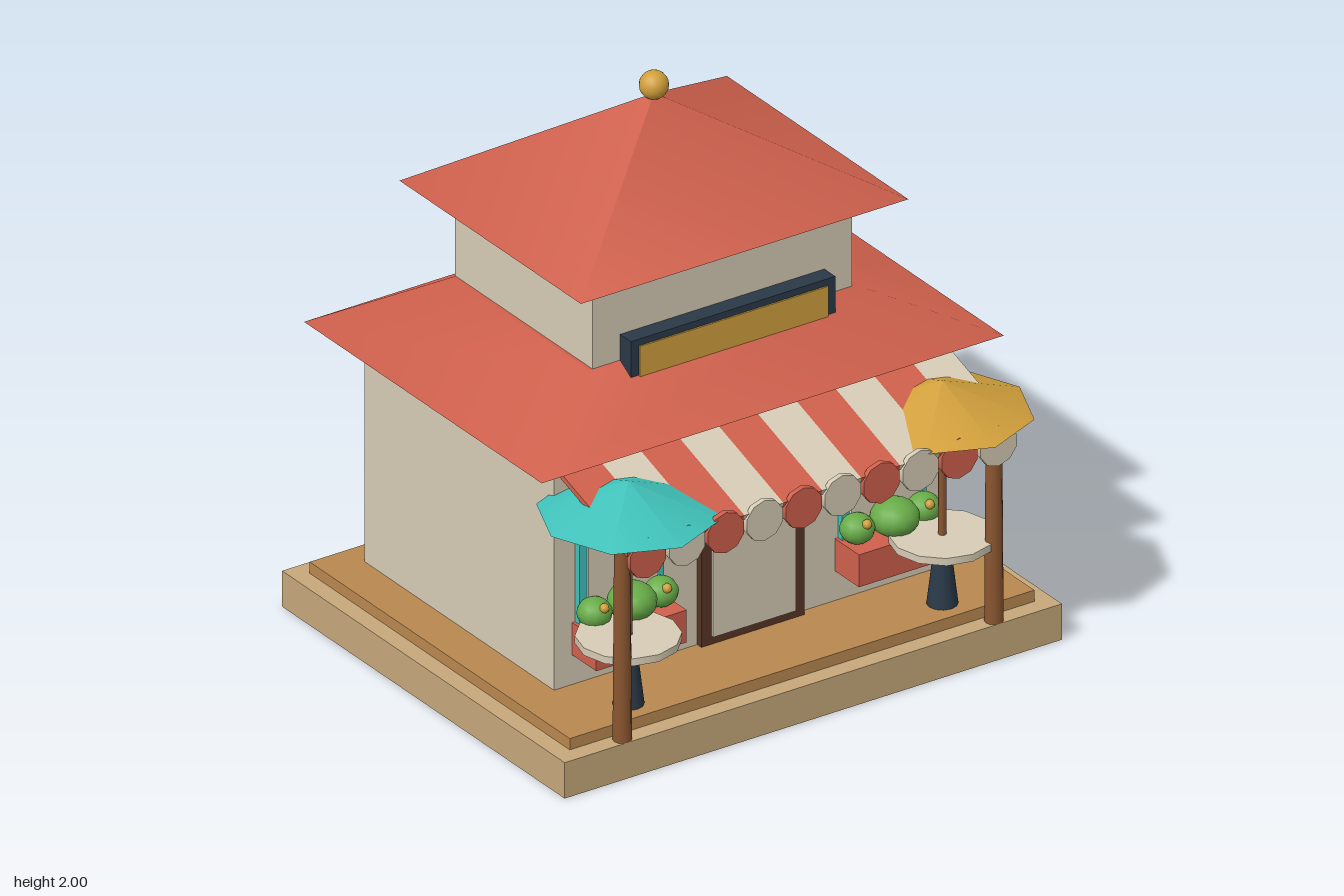
import * as THREE from 'three';

const paint = (name, color) => {
  const m = new THREE.MeshStandardMaterial({ color });
  m.name = name;
  return m;
};

export function createModel() {
  const red = paint('roofRed', 0xcf604c);
  const cream = paint('cream', 0xd6ccb5);
  const tan = paint('stoneTan', 0xc6a87a);
  const deckWood = paint('deckWood', 0xb98850);
  const postWood = paint('postWood', 0x8a5630);
  const doorWood = paint('doorWood', 0x573527);
  const navy = paint('navy', 0x2a3948);
  const gold = paint('gold', 0xd2a03c);
  const teal = paint('teal', 0x40c2ba);
  const green = paint('leafGreen', 0x68ac48);

  const model = new THREE.Group();
  model.name = 'teaHouse';

  const add = (name, geometry, material, x, y, z, parent = model) => {
    const mesh = new THREE.Mesh(geometry, material);
    mesh.name = name;
    mesh.position.set(x, y, z);
    parent.add(mesh);
    return mesh;
  };
  // box given by its extents
  const box = (name, material, x0, x1, y0, y1, z0, z1, parent) =>
    add(name, new THREE.BoxGeometry(x1 - x0, y1 - y0, z1 - z0), material,
      (x0 + x1) / 2, (y0 + y1) / 2, (z0 + z1) / 2, parent);
  // upright round part from y0 to y1
  const round = (name, material, rTop, rBottom, y0, y1, x, z, sides, parent) =>
    add(name, new THREE.CylinderGeometry(rTop, rBottom, y1 - y0, sides), material,
      x, (y0 + y1) / 2, z, parent);
  // four-sided hipped roof, given by half widths
  const roof = (name, topHalf, bottomHalf, y0, y1, depthRatio) => {
    const g = new THREE.CylinderGeometry(topHalf * Math.SQRT2, bottomHalf * Math.SQRT2, y1 - y0, 4);
    g.rotateY(Math.PI / 4).scale(1, 1, depthRatio);
    add(name, g, red, 0, (y0 + y1) / 2, -0.18);
  };

  // plinth, deck and the two storeys
  box('plinth', tan, -0.99, 0.99, 0, 0.133, -0.895, 0.745);
  box('deck', deckWood, -0.925, 0.925, 0.133, 0.175, -0.83, 0.68);
  box('groundFloor', cream, -0.775, 0.775, 0.175, 1.05, -0.73, 0.37);
  box('upperFloor', cream, -0.517, 0.517, 1.2, 1.57, -0.58, 0.217);
  roof('lowerRoof', 0.53, 0.92, 1.047, 1.224, 0.75);
  roof('upperRoof', 0, 0.652, 1.562, 1.922, 0.808);
  add('finial', new THREE.SphereGeometry(0.05, 16, 12), gold, 0, 1.953, -0.18);

  // sign board above the lower roof
  box('signBoard', navy, -0.407, 0.407, 1.14, 1.32, 0.215, 0.28);
  box('signPanel', gold, -0.375, 0.375, 1.165, 1.295, 0.279, 0.286);

  // door
  box('doorFrame', doorWood, -0.205, 0.205, 0.175, 0.805, 0.36, 0.395);
  box('doorPanel', cream, -0.165, 0.165, 0.205, 0.775, 0.39, 0.405);

  // striped awning with a scalloped edge
  const awning = new THREE.Group();
  awning.name = 'awning';
  model.add(awning);
  const stripes = 10;
  const width = 1.55 / stripes;
  const run = 0.43;
  const drop = 0.14;
  for (let i = 0; i < stripes; i++) {
    const x = -0.775 + (i + 0.5) * width;
    const material = i % 2 ? cream : red;
    const stripe = add('awningStripe', new THREE.BoxGeometry(width, 0.02, Math.hypot(run, drop)),
      material, x, 0.932, 0.365 + run / 2, awning);
    stripe.rotation.x = Math.atan2(drop, run);
    const disc = new THREE.CylinderGeometry(0.075, 0.075, 0.02, 10).rotateX(Math.PI / 2);
    add('scallop', disc, material, x, 0.832, 0.794, awning);
  }

  for (const side of [-1, 1]) {
    // awning post
    round('awningPost', postWood, 0.027, 0.032, 0.133, 0.885, side * 0.74, 0.715, 12);

    // window
    const wx = side * 0.523;
    box('windowFrame', teal, wx - 0.168, wx + 0.168, 0.38, 0.775, 0.36, 0.395);
    box('windowPane', cream, wx - 0.138, wx + 0.138, 0.41, 0.742, 0.39, 0.405);

    // planter with bushes and flowers
    const planter = new THREE.Group();
    planter.name = side < 0 ? 'rightPlanter' : 'leftPlanter';
    model.add(planter);
    box('planterBox', red, wx - 0.18, wx + 0.18, 0.285, 0.405, 0.37, 0.51, planter);
    add('bigBush', new THREE.SphereGeometry(0.085, 14, 10).scale(1, 0.76, 1),
      green, wx, 0.47, 0.455, planter);
    for (const s of [-1, 1]) {
      add('smallBush', new THREE.SphereGeometry(0.06, 12, 10).scale(1, 0.87, 1),
        green, wx + s * 0.132, 0.455, 0.43, planter);
      add('flower', new THREE.SphereGeometry(0.017, 8, 6), gold,
        wx + s * 0.125, 0.488, 0.477, planter);
    }

    // parasol table
    const table = new THREE.Group();
    table.name = side < 0 ? 'rightTable' : 'leftTable';
    table.position.set(side * 0.625, 0, 0.583);
    model.add(table);
    round('pedestal', navy, 0.025, 0.053, 0.175, 0.41, 0, 0, 12, table);
    round('tableTop', cream, 0.177, 0.177, 0.405, 0.432, 0, 0, 12, table);
    round('parasolPole', postWood, 0.014, 0.014, 0.432, 0.96, 0, 0, 8, table);
    round('parasol', side < 0 ? teal : gold, 0, 0.308, 0.885, 1.0, 0, 0, 8, table);
  }

  return model;
}
